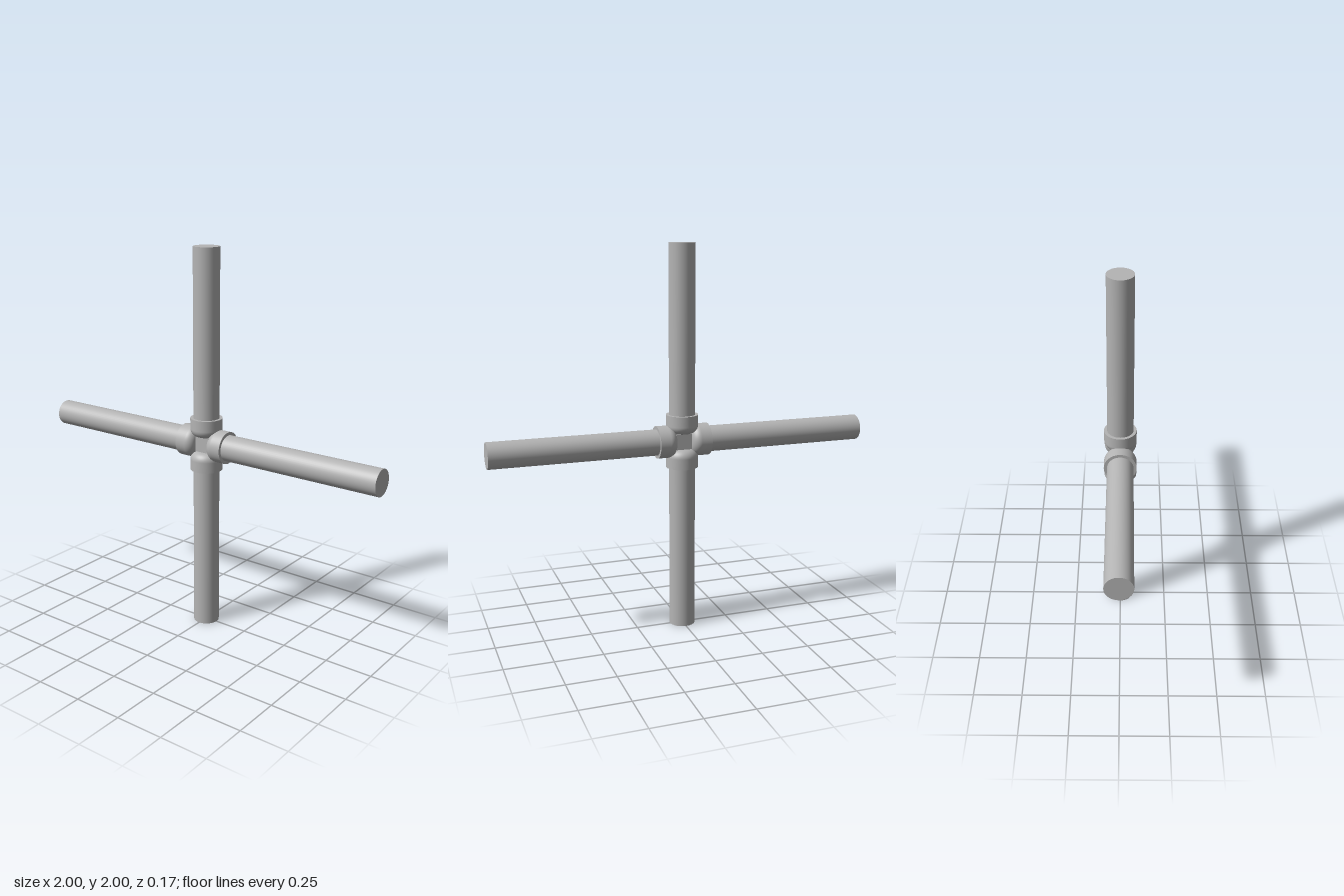
import * as THREE from 'three';

const PIPE_R = 0.067, COLLAR_R = 0.083, CORE = 0.04, COLLAR_END = 0.138;

export function createModel() {
  const model = new THREE.Group();
  model.name = 'crossPipeFitting';
  const grey = new THREE.MeshStandardMaterial({ color: 0xb4b4b4 });
  grey.name = 'grey metal';

  // Collar profile: flat inner end, rounded shoulder, straight wall, end rim.
  // Doubled points keep the edges sharp.
  const v = (x, y) => new THREE.Vector2(x, y);
  const fillet = COLLAR_R - CORE;
  const profile = [v(0, CORE), v(CORE, CORE)];
  for (let i = 0; i <= 10; i++) {
    const a = (i / 10) * Math.PI / 2;
    profile.push(v(CORE + fillet * Math.sin(a), COLLAR_R - fillet * Math.cos(a)));
  }
  profile.push(v(COLLAR_R, COLLAR_END), v(COLLAR_R, COLLAR_END), v(PIPE_R - 0.005, COLLAR_END));
  const collarGeometry = new THREE.LatheGeometry(profile, 48);

  // Pipe running from inside the collar to the outer end
  const start = 0.1;
  const pipeGeometry = new THREE.CylinderGeometry(PIPE_R, PIPE_R, 1 - start, 48);
  pipeGeometry.translate(0, (1 + start) / 2, 0);

  // Four identical arms around the centre
  ['top', 'left', 'bottom', 'right'].forEach((side, i) => {
    const arm = new THREE.Group();
    arm.name = side + 'Arm';
    const collar = new THREE.Mesh(collarGeometry, grey);
    collar.name = side + 'Collar';
    const pipe = new THREE.Mesh(pipeGeometry, grey);
    pipe.name = side + 'Pipe';
    arm.add(collar, pipe);
    arm.position.y = 1;
    arm.rotation.z = -i * Math.PI / 2;
    model.add(arm);
  });

  // Cube joining the four collars
  const core = new THREE.Mesh(new THREE.BoxGeometry(2 * CORE, 2 * CORE, 2 * CORE), grey);
  core.name = 'centreBlock';
  core.position.y = 1;
  model.add(core);

  return model;
}
